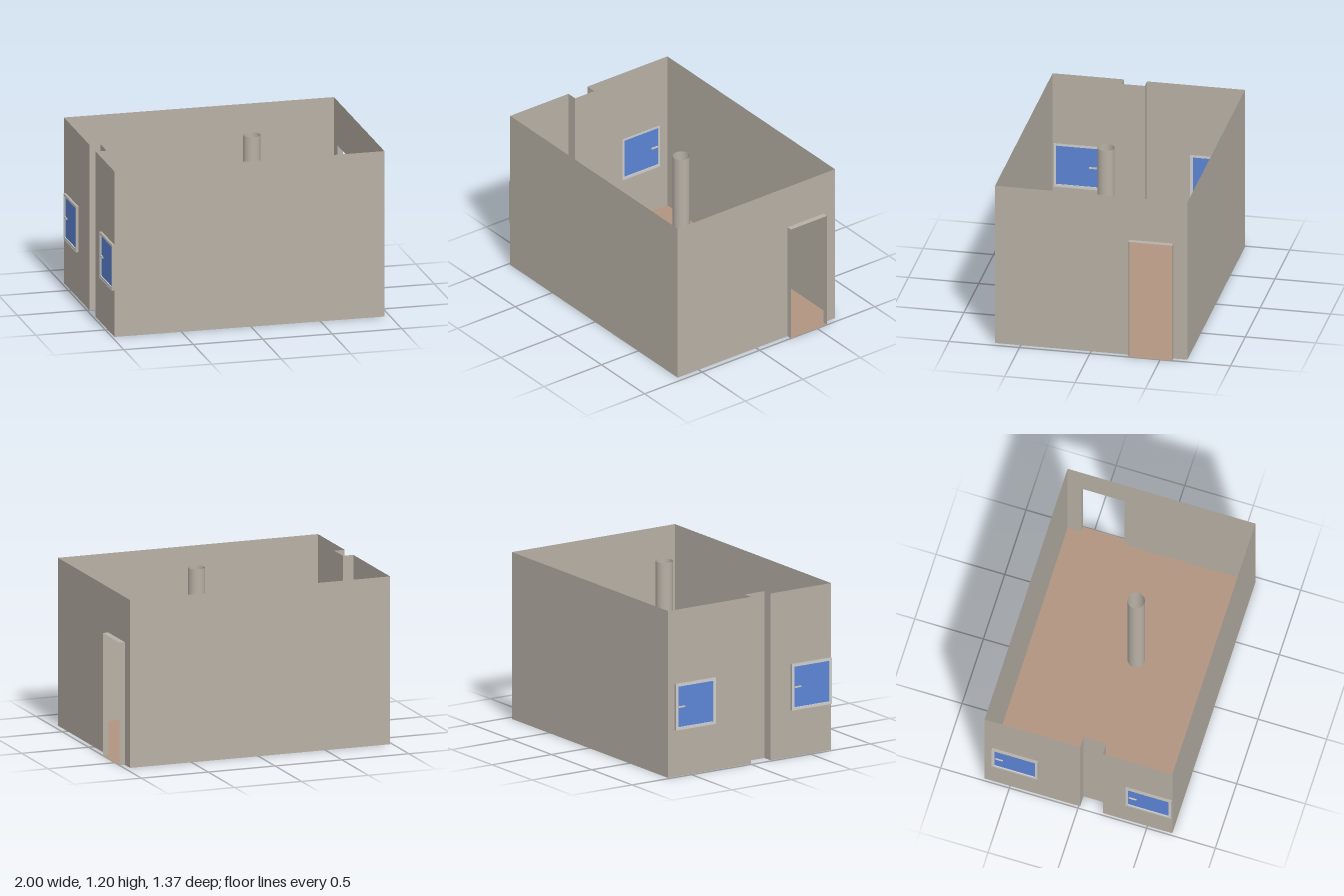
import * as THREE from 'three';

const mat = (name, color) => {
  const m = new THREE.MeshStandardMaterial({ color, side: THREE.DoubleSide });
  m.name = name;
  return m;
};

export function createModel() {
  const wallMat = mat('wall plaster', 0xb7b0a5);
  const floorMat = mat('brown floor', 0xb09480);
  const frameMat = mat('window frame grey', 0xcfcfcf);
  const glassMat = mat('blue glass', 0x5c85d6);
  const handleMat = mat('handle beige', 0xd2cbbb);

  const H = 1.2, L = -0.983, R = 0.96, B = -0.685, F = 0.682;
  const niche = { x: -0.905, z0: 0.01, z1: 0.175 };
  const door = { x: 1, z0: -0.585, z1: -0.272, h: 0.877 };
  const column = { x: 0.17, z: 0.06, r: 0.06 };
  const win = { y0: 0.335, y1: 0.668, w: 0.336, x: -1 };
  const windowStarts = [-0.63, 0.343];

  const room = new THREE.Group();
  room.name = 'room';

  const add = (parent, name, geometry, material) => {
    const mesh = new THREE.Mesh(geometry, material);
    mesh.name = name;
    parent.add(mesh);
    return mesh;
  };
  const points = (list) => list.map(([a, b]) => new THREE.Vector2(a, b));
  const rect = (a0, b0, a1, b1) => [[a0, b0], [a1, b0], [a1, b1], [a0, b1]];
  const shape = (outline, holes = []) => {
    const s = new THREE.Shape(points(outline));
    holes.forEach((h) => s.holes.push(new THREE.Path(points(h))));
    return s;
  };
  // Sheet in the zy plane at a given x
  const sideSheet = (x, outline, holes) =>
    new THREE.ShapeGeometry(shape(outline, holes)).rotateY(-Math.PI / 2).translate(x, 0, 0);
  // Upright sheet in the xy plane at a given z
  const frontSheet = (x0, x1, y0, y1, z) =>
    new THREE.PlaneGeometry(x1 - x0, y1 - y0).translate((x0 + x1) / 2, (y0 + y1) / 2, z);
  // Level sheet in the xz plane at a given y
  const levelSheet = (x0, x1, z0, z1, y) =>
    new THREE.PlaneGeometry(x1 - x0, z1 - z0).rotateX(-Math.PI / 2)
      .translate((x0 + x1) / 2, y, (z0 + z1) / 2);

  // Floor with door sill, niche cut-out and column opening
  const floorShape = shape([
    [L, B], [R, B], [R, door.z0], [door.x, door.z0], [door.x, door.z1], [R, door.z1],
    [R, F], [L, F], [L, niche.z1], [niche.x, niche.z1], [niche.x, niche.z0], [L, niche.z0],
  ].map(([x, z]) => [x, -z]));
  const opening = new THREE.Path();
  opening.absarc(column.x, -column.z, column.r, 0, Math.PI * 2);
  floorShape.holes.push(opening);
  add(room, 'floor', new THREE.ShapeGeometry(floorShape, 32).rotateX(-Math.PI / 2), floorMat);

  // Long walls
  add(room, 'frontWall', frontSheet(L, R, 0, H, F), wallMat);
  add(room, 'backWall', frontSheet(L, R, 0, H, B), wallMat);

  // Wall with the doorway
  add(room, 'doorWall', sideSheet(R, [
    [B, 0], [door.z0, 0], [door.z0, door.h], [door.z1, door.h], [door.z1, 0],
    [F, 0], [F, H], [B, H],
  ]), wallMat);
  for (const z of [door.z0, door.z1]) {
    add(room, 'doorJamb', frontSheet(R, door.x, 0, door.h, z), wallMat);
  }
  add(room, 'doorLintel', levelSheet(R, door.x, door.z0, door.z1, door.h), wallMat);

  // Wall with two windows, split by the niche
  const spans = [[B, niche.z0], [niche.z1, F]];
  spans.forEach(([z0, z1], i) => {
    const s = windowStarts[i];
    add(room, 'windowWall',
      sideSheet(L, rect(z0, 0, z1, H), [rect(s, win.y0, s + win.w, win.y1)]), wallMat);
  });
  for (const z of [niche.z0, niche.z1]) {
    add(room, 'nicheSide', frontSheet(L, niche.x, 0, H, z), wallMat);
  }
  add(room, 'nicheBack', sideSheet(niche.x, rect(niche.z0, 0, niche.z1, H)), wallMat);

  // Windows: reveal, frame, pane and a handle on each face
  for (const s of windowStarts) {
    const g = new THREE.Group();
    g.name = 'window';
    room.add(g);
    const e = s + win.w, t = 0.02;
    for (const z of [s, e]) {
      add(g, 'windowReveal', frontSheet(win.x, L, win.y0, win.y1, z), wallMat);
    }
    for (const y of [win.y0, win.y1]) {
      add(g, 'windowReveal', levelSheet(win.x, L, s, e, y), wallMat);
    }
    const inner = rect(s + t, win.y0 + t, e - t, win.y1 - t);
    const frame = new THREE.ExtrudeGeometry(
      shape(rect(s + 0.001, win.y0 + 0.001, e - 0.001, win.y1 - 0.001), [inner]),
      { depth: 0.012, bevelEnabled: false });
    add(g, 'windowFrame', frame.rotateY(-Math.PI / 2).translate(-0.986, 0, 0), frameMat);
    add(g, 'windowPane', sideSheet(-0.991, inner), glassMat);
    for (const x of [-0.996, -0.986]) {
      add(g, 'windowHandle', new THREE.BoxGeometry(0.008, 0.01, 0.055), handleMat)
        .position.set(x, 0.5, s + 0.053);
    }
  }

  // Hollow column
  add(room, 'column',
    new THREE.CylinderGeometry(column.r, column.r, H, 32, 1, true), wallMat)
    .position.set(column.x, H / 2, column.z);

  return room;
}
